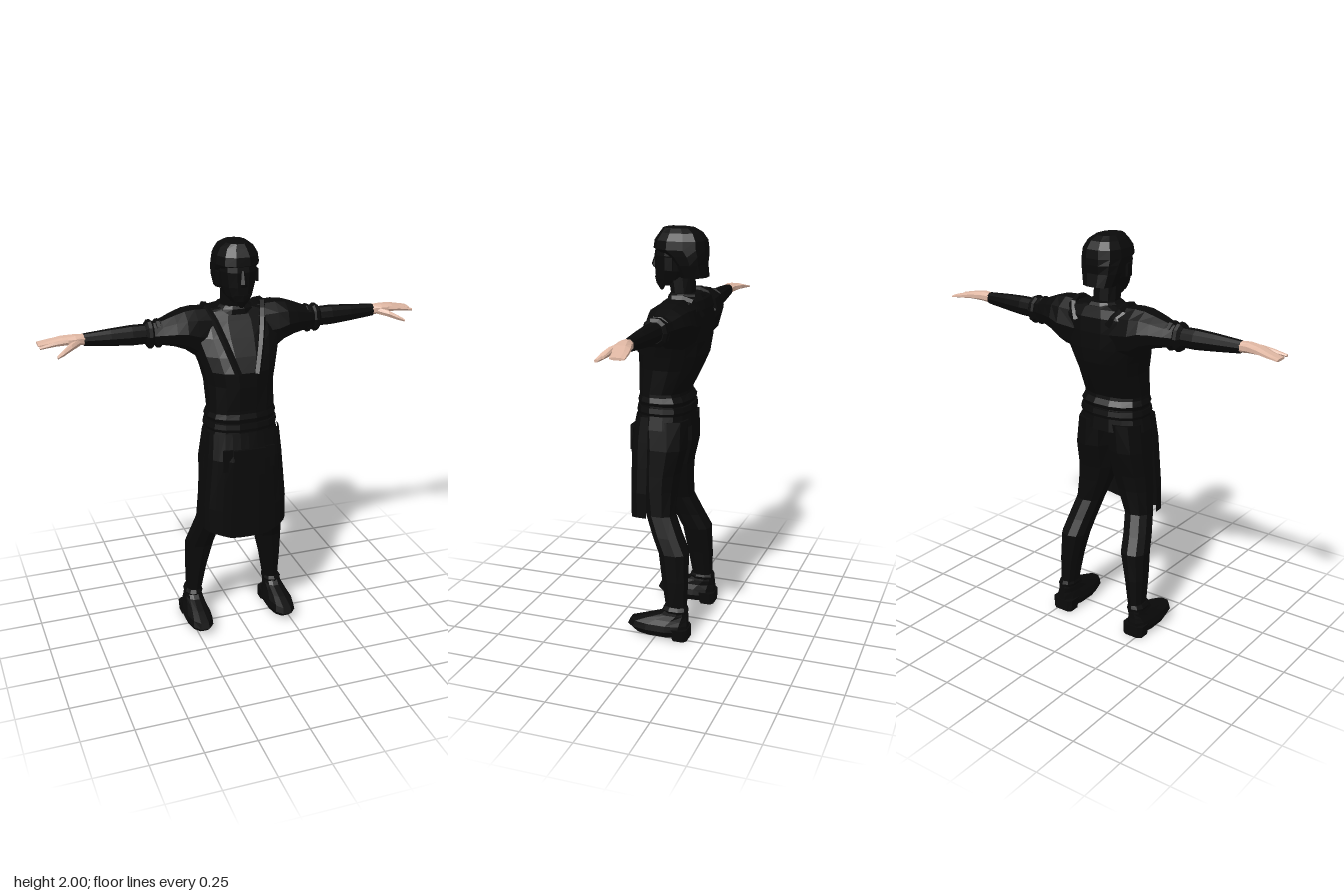
import * as THREE from 'three';

const dark = new THREE.MeshStandardMaterial({ color: 0x0a0a0a, side: THREE.DoubleSide });
dark.name = 'dark cloth';
const skin = new THREE.MeshStandardMaterial({ color: 0xdfb7a3, side: THREE.DoubleSide });
skin.name = 'skin';

// Faceted normals without touching the material
function faceted(geometry) {
  const g = geometry.index ? geometry.toNonIndexed() : geometry;
  g.computeVertexNormals();
  return g;
}

// Capped skin over rings; the ring centres run in ascending order along the axis
function skinRings(rings) {
  const n = rings[0].length, pos = [];
  const tri = (...pts) => pts.forEach((p) => pos.push(...p));
  for (let i = 0; i < rings.length - 1; i++) {
    for (let j = 0; j < n; j++) {
      const k = (j + 1) % n;
      const a = rings[i][j], b = rings[i][k], c = rings[i + 1][j], d = rings[i + 1][k];
      tri(a, c, b);
      tri(b, c, d);
    }
  }
  const first = rings[0], last = rings[rings.length - 1];
  for (let j = 1; j < n - 1; j++) {
    tri(first[0], first[j], first[j + 1]);
    tri(last[0], last[j + 1], last[j]);
  }
  const g = new THREE.BufferGeometry();
  g.setAttribute('position', new THREE.Float32BufferAttribute(pos, 3));
  return faceted(g);
}

const bulge = (v, p) => Math.sign(v) * Math.abs(v) ** p;
const angles = (n) => Array.from({ length: n }, (_, j) => ((j + 0.5) / n) * Math.PI * 2);

// Upright form: rows of [y, left x edge, right x edge, back z, front z]
function upright(rows, sides = 12, p = 0.85) {
  return skinRings(rows.map(([y, x0, x1, z0, z1]) => angles(sides).map((a) => [
    (x0 + x1) / 2 + ((x1 - x0) / 2) * bulge(Math.cos(a), p), y,
    (z0 + z1) / 2 + ((z1 - z0) / 2) * bulge(Math.sin(a), p)])));
}

// Sideways form: rows of [x, centre y, centre z, half height, half depth]
function sideways(rows, sides = 8, p = 0.9) {
  return skinRings(rows.map(([x, y, z, ry, rz]) => angles(sides).map((a) => [
    x, y + ry * bulge(Math.cos(a), p), z - rz * bulge(Math.sin(a), p)])));
}

const symmetric = (rows) => rows.map(([y, rx, z0, z1]) => [y, -rx, rx, z0, z1]);

// Mirror across x and restore the corner order
function mirror(geometry) {
  const g = geometry.clone(), p = g.attributes.position;
  for (let i = 0; i < p.count; i += 3) {
    const c = [0, 2, 1].map((k) => [-p.getX(i + k), p.getY(i + k), p.getZ(i + k)]);
    c.forEach((v, k) => p.setXYZ(i + k, ...v));
  }
  g.computeVertexNormals();
  return g;
}

function box(w, h, d, x, y, z) {
  return faceted(new THREE.BoxGeometry(w, h, d).translate(x, y, z));
}

export function createModel() {
  const model = new THREE.Group();
  const add = (name, geometry, material = dark) => {
    const m = new THREE.Mesh(geometry, material);
    m.name = name;
    model.add(m);
  };
  const pair = (name, geometry, material = dark) => {
    add('left' + name, geometry, material);
    add('right' + name, mirror(geometry), material);
  };

  // Head and neck
  add('neck', upright(symmetric([[1.6, 0.085, -0.13, 0], [1.68, 0.065, -0.115, 0], [1.8, 0.065, -0.11, 0.02]]), 10));
  add('face', upright(symmetric([
    [1.725, 0.04, -0.02, 0.07], [1.755, 0.065, -0.09, 0.078], [1.8, 0.082, -0.12, 0.08],
    [1.87, 0.092, -0.13, 0.082], [1.94, 0.085, -0.13, 0.07]])));
  add('nose', upright(symmetric([[1.805, 0.02, 0.05, 0.095], [1.82, 0.018, 0.05, 0.104], [1.88, 0.009, 0.05, 0.082]]), 6));
  add('beard', upright(symmetric([[1.7, 0.008, 0.045, 0.06], [1.735, 0.035, 0.03, 0.08], [1.765, 0.045, 0.03, 0.085]]), 6));
  add('hair', upright(symmetric([
    [1.77, 0.08, -0.178, -0.04], [1.83, 0.098, -0.17, -0.015], [1.87, 0.104, -0.175, 0.03],
    [1.9, 0.108, -0.175, 0.086], [1.94, 0.102, -0.17, 0.08], [1.975, 0.082, -0.145, 0.055],
    [1.995, 0.055, -0.11, 0.042], [2, 0.03, -0.08, 0.02]])));
  pair('Ear', box(0.012, 0.06, 0.035, 0.095, 1.835, -0.015));

  // Tunic
  add('tunic', upright(symmetric([
    [1.05, 0.19, -0.115, 0.16], [1.13, 0.172, -0.105, 0.15], [1.22, 0.165, -0.09, 0.15],
    [1.34, 0.167, -0.15, 0.155], [1.41, 0.182, -0.18, 0.155], [1.48, 0.205, -0.19, 0.12],
    [1.56, 0.23, -0.19, 0.07], [1.63, 0.23, -0.185, 0.025], [1.67, 0.18, -0.17, 0],
    [1.685, 0.1, -0.15, -0.01]]), 16));
  add('collar', upright(symmetric([[1.655, 0.11, -0.165, 0.015], [1.68, 0.095, -0.16, 0.012], [1.695, 0.075, -0.15, 0]]), 12));
  add('belt', upright(symmetric([[1.115, 0.175, -0.112, 0.158], [1.13, 0.181, -0.117, 0.162], [1.155, 0.176, -0.112, 0.158]]), 16));
  add('waistRoll', upright(symmetric([[1.16, 0.168, -0.105, 0.152], [1.18, 0.176, -0.112, 0.157], [1.205, 0.166, -0.095, 0.15]]), 16));
  pair('Sleeve', sideways([
    [0.1, 1.56, -0.075, 0.125, 0.105], [0.2, 1.572, -0.075, 0.118, 0.112], [0.25, 1.588, -0.072, 0.096, 0.108],
    [0.3, 1.59, -0.07, 0.078, 0.095], [0.36, 1.585, -0.067, 0.06, 0.07], [0.4, 1.583, -0.065, 0.055, 0.055]], 10));
  for (const [i, x] of [0.375, 0.415].entries()) {
    pair('Cuff' + (i + 1), sideways([
      [x - 0.022, 1.58, -0.066, 0.054, 0.048], [x - 0.006, 1.58, -0.066, 0.069, 0.062],
      [x + 0.01, 1.58, -0.066, 0.067, 0.06], [x + 0.022, 1.582, -0.066, 0.05, 0.046]], 10));
  }
  pair('Forearm', sideways([
    [0.4, 1.582, -0.066, 0.046, 0.044], [0.5, 1.583, -0.065, 0.047, 0.044],
    [0.6, 1.585, -0.062, 0.04, 0.037], [0.725, 1.587, -0.06, 0.029, 0.026]], 10));

  // Hands
  pair('Palm', sideways([
    [0.715, 1.588, -0.06, 0.026, 0.024], [0.765, 1.592, -0.058, 0.024, 0.036], [0.825, 1.592, -0.07, 0.018, 0.044],
    [0.875, 1.585, -0.085, 0.012, 0.038], [0.932, 1.577, -0.093, 0.006, 0.036]], 8), skin);
  pair('IndexFinger', sideways([
    [0.8, 1.592, -0.037, 0.015, 0.013], [0.86, 1.588, -0.034, 0.011, 0.011], [0.93, 1.577, -0.03, 0.006, 0.008]], 6), skin);
  pair('Thumb', sideways([
    [0.745, 1.585, -0.045, 0.018, 0.018], [0.79, 1.575, -0.012, 0.017, 0.02],
    [0.83, 1.558, 0.012, 0.013, 0.015], [0.862, 1.544, 0.028, 0.007, 0.009]], 6), skin);

  // Shoulder straps
  const strap = new THREE.CatmullRomCurve3([
    [0.045, 1.4, 0.15], [0.085, 1.53, 0.085], [0.12, 1.64, 0.005], [0.14, 1.687, -0.06],
    [0.13, 1.672, -0.14], [0.09, 1.6, -0.178]].map((v) => new THREE.Vector3(...v)));
  pair('Strap', faceted(new THREE.TubeGeometry(strap, 12, 0.017, 5)));

  // Apron: curved panel, open at the back, with cut corners at the hem
  const panel = new THREE.PlaneGeometry(2, 1, 14, 4);
  const p = panel.attributes.position;
  for (let i = 0; i < p.count; i++) {
    const u = p.getX(i), t = 0.5 - p.getY(i), s = Math.sin(u * Math.PI / 2);
    const hem = 0.565 + 0.07 * Math.max(0, Math.abs(s) - 0.42);
    const y = 1.11 + (hem - 1.11) * t;
    const half = 0.18 + 0.037 * Math.min(1, t * 1.3);
    const front = 0.157 + 0.028 * Math.min(1, t * 4);
    p.setXYZ(i, half * s, y, 0.06 + (front - 0.06) * Math.cos(u * Math.PI / 2) ** 0.6);
  }
  add('apron', faceted(panel));
  add('pouch', box(0.15, 0.13, 0.014, 0, 0.96, 0.183));
  add('pouchFlap', box(0.16, 0.04, 0.016, 0, 1.015, 0.183));
  pair('Pocket', box(0.05, 0.11, 0.014, 0.105, 0.98, 0.165));

  // Trousers
  pair('Leg', upright([
    [0.13, 0.18, 0.25, -0.15, -0.045], [0.3, 0.15, 0.255, -0.153, -0.018], [0.44, 0.115, 0.255, -0.15, 0.003],
    [0.52, 0.102, 0.24, -0.11, 0.04], [0.62, 0.08, 0.218, -0.065, 0.08], [0.74, 0.03, 0.21, -0.068, 0.1],
    [0.82, 0.002, 0.205, -0.078, 0.11], [0.95, -0.005, 0.198, -0.11, 0.12], [1.09, -0.005, 0.178, -0.112, 0.14]], 10));

  // Shoes
  pair('Shoe', upright([
    [0.015, 0.165, 0.282, -0.155, 0.12], [0.045, 0.155, 0.294, -0.163, 0.155], [0.075, 0.162, 0.288, -0.163, 0.142],
    [0.1, 0.172, 0.275, -0.16, 0.07], [0.125, 0.175, 0.265, -0.158, -0.01], [0.15, 0.18, 0.26, -0.155, -0.035]], 12));
  pair('Heel', upright([[0, 0.165, 0.28, -0.165, -0.085], [0.06, 0.162, 0.285, -0.166, -0.07]], 8, 0.5));
  pair('AnkleBand', upright([
    [0.135, 0.175, 0.262, -0.158, -0.03], [0.15, 0.17, 0.266, -0.16, -0.028], [0.168, 0.177, 0.256, -0.153, -0.038]], 10));
  return model;
}
